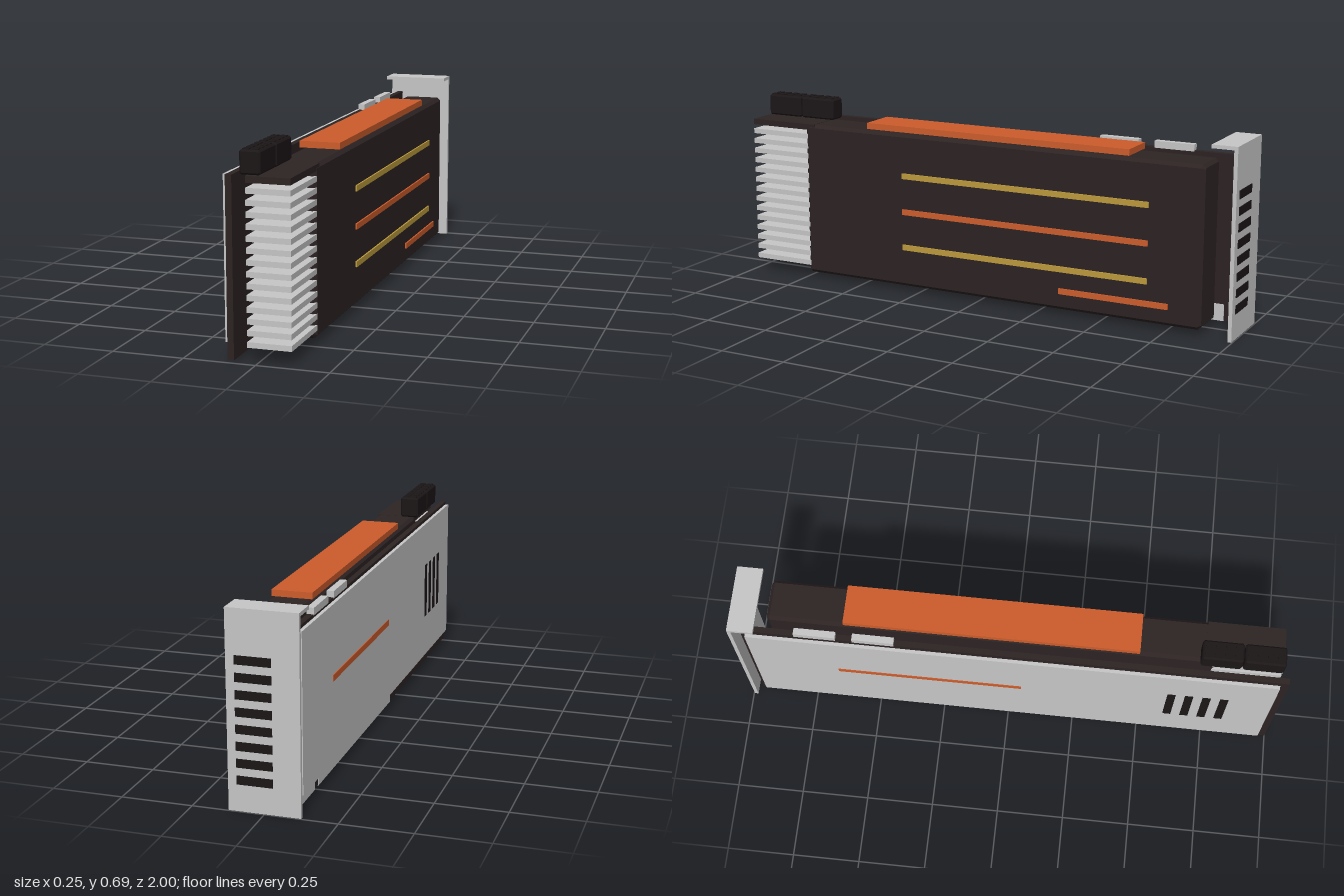
import * as THREE from 'three';

function mat(name, color) {
  const m = new THREE.MeshStandardMaterial({ color });
  m.name = name;
  return m;
}

export function createModel() {
  const group = new THREE.Group();
  const charcoal = mat('charcoal', 0x2d2323);
  const socketBlack = mat('socket black', 0x1c1617);
  const silver = mat('silver', 0xc6c6c6);
  const orange = mat('orange', 0xcd5c2c);
  const gold = mat('gold', 0xbd9a3c);

  // Box given by its limits on each axis
  function box(name, material, [x0, x1], [y0, y1], [z0, z1]) {
    const mesh = new THREE.Mesh(new THREE.BoxGeometry(x1 - x0, y1 - y0, z1 - z0), material);
    mesh.position.set((x0 + x1) / 2, (y0 + y1) / 2, (z0 + z1) / 2);
    mesh.name = name;
    group.add(mesh);
    return mesh;
  }

  // Box with every edge chamfered by c
  function chamferBox(name, material, [x0, x1], [y0, y1], [z0, z1], c) {
    const shape = new THREE.Shape();
    const a = x0 + c, b = x1 - c, d = y0 + c, e = y1 - c;
    [[a, y0], [b, y0], [x1, d], [x1, e], [b, y1], [a, y1], [x0, e], [x0, d]]
      .forEach(([x, y], i) => (i ? shape.lineTo(x, y) : shape.moveTo(x, y)));
    const geo = new THREE.ExtrudeGeometry(shape, {
      depth: z1 - z0 - 2 * c, bevelEnabled: true, bevelSegments: 1,
      bevelSize: c, bevelOffset: -c, bevelThickness: c,
    });
    geo.translate(0, 0, z0 + c);
    const mesh = new THREE.Mesh(geo, material);
    mesh.name = name;
    group.add(mesh);
    return mesh;
  }

  // Circuit board with two edge connector sections and two bridge connectors
  box('circuitBoard', charcoal, [-0.095, -0.073], [0.01, 0.615], [-0.965, 1]);
  for (const z of [[-0.735, 0.14], [-0.9, -0.775]])
    box('edgeConnector', silver, [-0.097, -0.071], [0.008, 0.07], z);
  for (const z of [[-0.77, -0.62], [-0.56, -0.41]])
    box('bridgeConnector', silver, [-0.097, -0.072], [0.612, 0.637], z);

  // Back plate with vent slots and accent line
  box('backPlate', silver, [-0.115, -0.102], [0.058, 0.61], [-0.945, 0.967]);
  for (let i = 0; i < 4; i++) {
    const z = 0.6 + i * 0.064;
    box('backPlateVent', socketBlack, [-0.117, -0.114], [0.225, 0.44], [z - 0.015, z + 0.015]);
  }
  box('backPlateAccent', orange, [-0.117, -0.114], [0.343, 0.366], [-0.63, 0.05]);

  // Cooler shroud, its front cover and top panel
  chamferBox('coolerShroud', charcoal, [-0.035, 0.117], [0.022, 0.609], [-0.88, 0.74], 0.012);
  box('finCover', charcoal, [-0.035, 0.116], [0.588, 0.61], [0.7, 0.98]);
  box('topPanel', orange, [-0.035, 0.11], [0.614, 0.637], [-0.6, 0.465]);

  // Stack of cooling fins
  for (let i = 0; i < 14; i++) {
    const y = 0.0593 + i * 0.0387;
    box('coolingFin', silver, [-0.035, 0.1165], [y - 0.0095, y + 0.0095], [0.7, 0.98]);
  }

  // Accent strips on the shroud side
  for (const [material, y, z] of [
    [gold, 0.45, [-0.68, 0.31]],
    [orange, 0.312, [-0.68, 0.31]],
    [gold, 0.175, [-0.68, 0.31]],
    [orange, 0.093, [-0.76, -0.34]],
  ]) box('sideStrip', material, [0.116, 0.123], [y - 0.0105, y + 0.0105], z);

  // Two power sockets, each with two rows of four holes
  for (const z of [0.68, 0.83]) {
    chamferBox('powerSocket', socketBlack, [-0.057, 0.014], [0.612, 0.692], [z, z + 0.146], 0.006);
    for (const x of [-0.037, -0.006])
      for (let i = 0; i < 4; i++) {
        const cz = z + 0.021 + i * 0.035;
        box('socketHole', socketBlack, [x - 0.011, x + 0.011], [0.69, 0.695], [cz - 0.011, cz + 0.011]);
      }
  }

  // Mounting bracket with folded lip and vent slots
  box('bracketPlate', silver, [-0.125, 0.123], [0, 0.685], [-0.997, -0.983]);
  box('bracketLip', silver, [-0.125, 0.123], [0.672, 0.685], [-0.985, -0.903]);
  for (let i = 0; i < 8; i++) {
    const y = 0.109 + i * 0.058;
    box('bracketVent', socketBlack, [-0.031, 0.093], [y - 0.015, y + 0.015], [-1, -0.996]);
  }

  return group;
}
